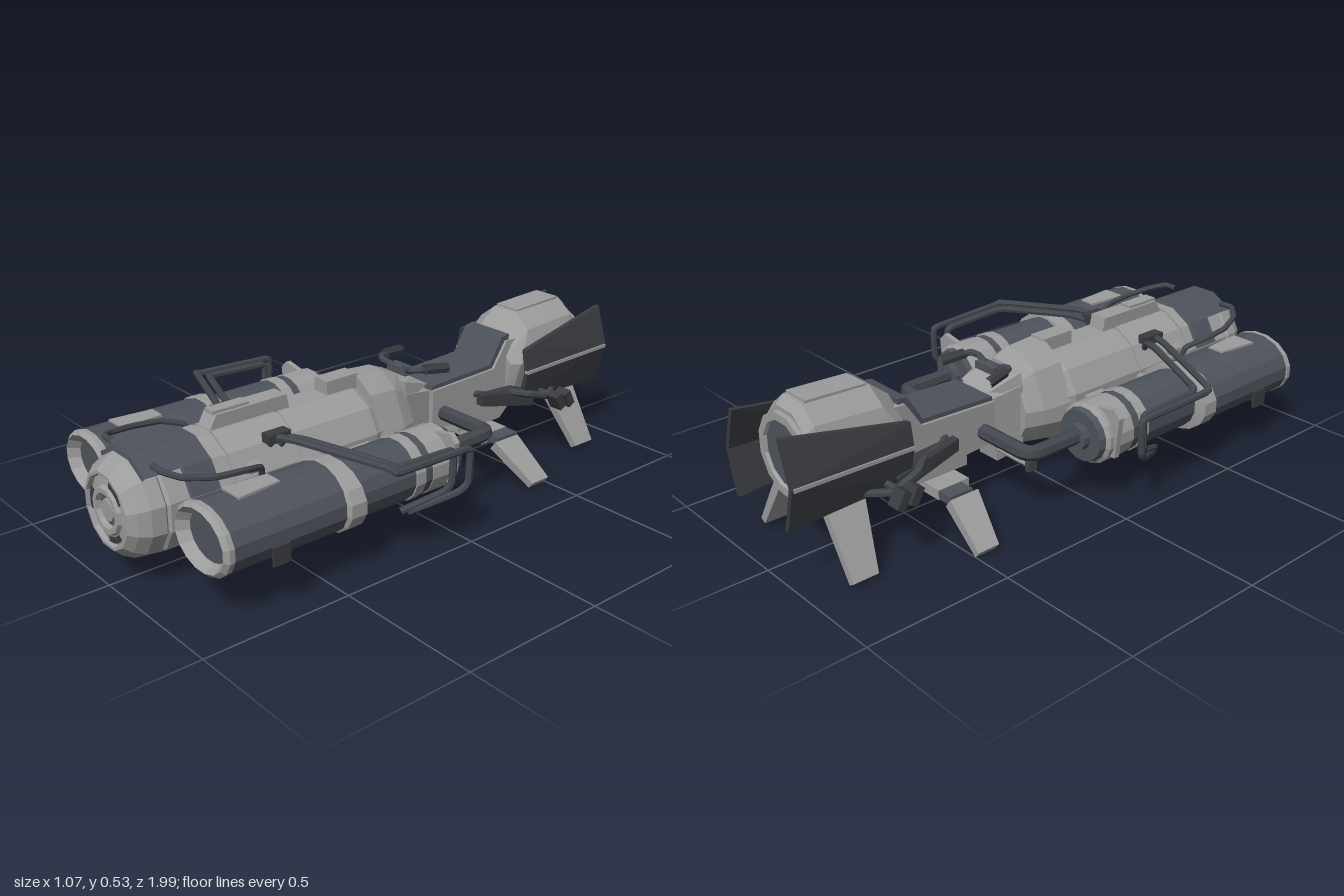
import * as THREE from 'three';
import { ConvexGeometry } from 'three/addons/geometries/ConvexGeometry.js';

const paint = (name, color) => {
  const m = new THREE.MeshStandardMaterial({ color, flatShading: true });
  m.name = name;
  return m;
};

export function createModel() {
  const root = new THREE.Group();
  root.name = 'hoverBike';
  const light = paint('lightGrey', 0x9c9c9c);
  const dark = paint('slate', 0x4e535c);
  const pipe = paint('pipeGrey', 0x42464d);
  const plate = paint('charcoal', 0x3a3c41);

  const add = (name, geo, mat, x = 0, y = 0, z = 0) => {
    const m = new THREE.Mesh(geo, mat);
    m.name = name;
    m.position.set(x, y, z);
    root.add(m);
    return m;
  };
  const box = (name, mat, w, h, d, x, y, z) => add(name, new THREE.BoxGeometry(w, h, d), mat, x, y, z);
  const hull = (name, mat, pts) => add(name, new ConvexGeometry(pts.map(p => new THREE.Vector3(...p))), mat);
  const rod = (name, mat, r, pts) => {
    const curve = new THREE.CatmullRomCurve3(pts.map(p => new THREE.Vector3(...p)), false, 'catmullrom', 0.18);
    return add(name, new THREE.TubeGeometry(curve, pts.length * 8, r, 7), mat);
  };
  // Turned part along z; profile is [radius, z] with z rising on outer faces, arc is degrees about the top
  const turn = (name, mat, profile, x, y, sides = 12, arc = 360, sy = 1) => {
    const len = arc * Math.PI / 180;
    const g = new THREE.LatheGeometry(profile.map(p => new THREE.Vector2(...p)), sides, Math.PI - len / 2 + (arc === 360 ? Math.PI / sides : 0), len);
    g.rotateX(Math.PI / 2);
    const m = add(name, g, mat, x, y, 0);
    m.scale.y = sy;
    return m;
  };
  // Side outline in [z, y], extruded across x
  const slab = (name, mat, pts, width, x = 0) => {
    const s = new THREE.Shape(pts.map(([z, y]) => new THREE.Vector2(-z, y)));
    const g = new THREE.ExtrudeGeometry(s, { depth: width, bevelEnabled: false });
    g.translate(0, 0, -width / 2).rotateY(Math.PI / 2);
    return add(name, g, mat, x);
  };

  const cy = 0.247;

  // Main fuselage
  turn('fuselage', light, [[0, -0.09], [0.125, -0.09], [0.142, -0.02], [0.16, 0.08], [0.168, 0.1], [0.168, 0.4],
    [0.164, 0.4], [0.164, 0.41], [0.17, 0.41], [0.17, 0.645], [0.163, 0.645], [0.163, 0.66], [0.17, 0.66], [0.17, 0.87], [0.16, 0.88]], 0, cy);
  turn('noseCone', light, [[0.155, 0.87], [0.168, 0.885], [0.163, 0.93], [0.145, 0.965], [0.122, 0.99], [0.112, 0.99],
    [0.108, 0.975], [0.078, 0.98], [0.072, 0.992], [0.056, 0.992], [0.05, 0.975], [0.036, 0.975], [0.034, 0.985], [0, 0.985]], 0, cy);
  turn('noseGroove', dark, [[0.051, 0.976], [0.037, 0.976]], 0, cy);
  for (let i = 0; i < 3; i++) {
    const g = new THREE.RingGeometry(0.08, 0.1, 6, 1, i * 2.094 + 0.5, 0.85);
    add('noseVent', g, plate, 0, cy, 0.984);
  }
  turn('noseCollar', dark, [[0.17, 0.795], [0.178, 0.8], [0.178, 0.925], [0.15, 0.93]], 0, cy, 3, 90);
  turn('noseCover', dark, [[0.17, 0.7], [0.178, 0.705], [0.178, 0.8], [0.17, 0.805]], 0, cy, 5, 150);

  // Raised spine along the top
  slab('frontSpine', light, [[0.65, 0.4], [0.62, 0.455], [0.36, 0.455], [0.35, 0.4]], 0.065);
  box('frontSpineCap', light, 0.045, 0.012, 0.13, 0, 0.458, 0.56);
  slab('rearSpine', light, [[0.2, 0.4], [0.2, 0.455], [0.075, 0.455], [0.07, 0.4]], 0.065);
  const cowl = [];
  for (const [z, top, w] of [[0.08, 0.448, 0.16], [-0.03, 0.44, 0.15], [-0.09, 0.415, 0.125]])
    for (const s of [-1, 1]) cowl.push([s * 0.035, top, z], [s * w * 0.66, top - 0.05, z], [s * w, 0.27, z]);
  hull('rearCowl', light, cowl);

  // Neck, steering console and seat
  hull('neck', light, [-1, 1].flatMap(s => [[s * 0.1, 0.36, -0.08], [s * 0.1, 0.15, -0.08], [s * 0.075, 0.33, -0.24], [s * 0.075, 0.18, -0.24]]));
  hull('console', light, [-1, 1].flatMap(s => [[s * 0.09, 0.4, -0.08], [s * 0.07, 0.36, -0.2], [s * 0.05, 0.39, -0.15], [s * 0.1, 0.33, -0.08]]));
  slab('neckBrace', light, [[-0.1, 0.09], [-0.1, 0.2], [-0.16, 0.2], [-0.145, 0.085]], 0.09);
  box('steeringHead', dark, 0.09, 0.025, 0.04, 0, 0.41, -0.14);
  slab('seatBase', light, [[-0.2, 0.2], [-0.2, 0.34], [-0.49, 0.35], [-0.55, 0.44], [-0.6, 0.44], [-0.6, 0.22],
    [-0.53, 0.155], [-0.32, 0.155], [-0.32, 0.19]], 0.2);
  slab('seatPad', dark, [[-0.2, 0.335], [-0.205, 0.355], [-0.48, 0.365], [-0.535, 0.455], [-0.57, 0.46], [-0.57, 0.4], [-0.5, 0.335]], 0.18);
  box('seatKeel', light, 0.34, 0.035, 0.12, 0, 0.137, -0.43);
  box('seatBelly', light, 0.13, 0.03, 0.2, 0, 0.15, -0.42);

  // Tail thruster
  const tail = [];
  for (const [z, k, top] of [[-0.55, 0.8, 0.435], [-0.575, 0.97, 0.465], [-0.64, 1, 0.515], [-0.87, 0.94, 0.525], [-0.9, 0.86, 0.5]])
    for (const s of [-1, 1]) tail.push([s * 0.05 * k, top, z], [s * 0.115 * k, top - 0.05, z], [s * 0.155 * k, 0.36, z],
      [s * 0.12 * k, 0.25, z], [s * 0.06 * k, 0.205, z]);
  hull('tailHousing', light, tail);
  turn('tailNozzle', light, [[0.1, -0.895], [0.11, -0.915], [0.135, -0.915], [0.14, -0.88]], 0, 0.355);
  turn('tailExhaust', dark, [[0, -0.905], [0.115, -0.905]], 0, 0.355);
  slab('tailPanel', light, [[-0.65, 0.51], [-0.65, 0.522], [-0.86, 0.531], [-0.86, 0.51]], 0.1);

  for (const s of [1, -1]) {
    const ex = s * 0.32, ey = 0.245;
    const mirror = pts => pts.map(([x, y, z]) => [s * x, y, z]);

    // Side engine
    turn('engineFrontBarrel', dark, [[0, 0.44], [0.134, 0.44], [0.134, 0.855]], ex, ey, 16, 360, 0.8);
    turn('engineIntakeLip', light, [[0.13, 0.85], [0.138, 0.853], [0.138, 0.87], [0.122, 0.883], [0.094, 0.845]], ex, ey, 16, 360, 0.78);
    turn('engineIntake', dark, [[0.096, 0.848], [0, 0.848]], ex, ey, 16, 360, 0.78);
    turn('engineBand', light, [[0.105, 0.395], [0.149, 0.4], [0.149, 0.455], [0.13, 0.465]], ex, ey, 16, 360, 0.73);
    turn('engineRearBarrel', dark, [[0.106, 0.1], [0.106, 0.4]], ex, ey, 16, 360, 0.95);
    turn('engineRearBand', light, [[0.105, 0.13], [0.11, 0.132], [0.11, 0.168], [0.105, 0.17]], ex, ey, 16, 360, 0.95);
    turn('engineRearCap', light, [[0.09, -0.02], [0.108, -0.005], [0.108, 0.1], [0.1, 0.105]], ex, ey, 16, 360, 0.95);
    turn('engineRearPlate', dark, [[0, -0.035], [0.09, -0.035], [0.096, -0.015]], ex, ey, 16, 360, 0.95);
    turn('pipeSocket', dark, [[0, -0.06], [0.045, -0.06], [0.045, -0.03]], ex, ey);
    hull('engineTopPanel', light, mirror([0.348, 0.356].flatMap(y => [[0.285, y, 0.62], [0.345, y, 0.62], [0.275, y, 0.77], [0.36, y, 0.77]])));
    box('engineSidePanel', plate, 0.008, 0.06, 0.06, s * 0.455, 0.195, 0.7);
    hull('engineFlap', light, mirror([0.01, 0.03].flatMap(z => [[0.34, 0.19, z], [0.43, 0.19, z], [0.445, 0.33, z], [0.42, 0.355, z], [0.34, 0.34, z]])));
    for (const z of [0.18, 0.43, 0.72]) box('engineMount', light, 0.08, 0.06, 0.08, s * 0.19, cy, z);

    // Exhaust pipe back to the neck
    rod('exhaustPipe', pipe, 0.026, mirror([[0.32, 0.25, -0.03], [0.32, 0.25, -0.2], [0.315, 0.25, -0.235], [0.29, 0.25, -0.25],
      [0.2, 0.25, -0.25], [0.05, 0.25, -0.25]]));

    // Guard rails around the engine
    rod('outerRail', pipe, 0.012, mirror([[0.13, 0.36, 0.5], [0.15, 0.385, 0.49], [0.22, 0.39, 0.465], [0.5, 0.367, 0.35], [0.522, 0.355, 0.33],
      [0.515, 0.345, 0.05], [0.515, 0.325, 0.035], [0.515, 0.23, 0.04], [0.5, 0.2, 0.07], [0.42, 0.145, 0.2]]));
    rod('innerRail', pipe, 0.012, mirror([[0.13, 0.35, 0.46], [0.15, 0.375, 0.45], [0.22, 0.38, 0.425], [0.46, 0.36, 0.325], [0.487, 0.35, 0.3],
      [0.485, 0.34, 0.09], [0.485, 0.32, 0.075], [0.485, 0.23, 0.08], [0.47, 0.2, 0.1], [0.41, 0.15, 0.22]]));
    box('railFoot', plate, 0.04, 0.03, 0.08, s * 0.14, 0.385, 0.48);
    rod('noseHose', pipe, 0.01, mirror([[0.11, 0.4, 0.89], [0.16, 0.4, 0.89], [0.205, 0.385, 0.85], [0.235, 0.37, 0.76],
      [0.235, 0.36, 0.66], [0.21, 0.34, 0.59], [0.2, 0.31, 0.58]]));
    turn('sideBolt', light, [[0, 0.55], [0.018, 0.56], [0.018, 0.6], [0, 0.61]], s * 0.16, 0.32, 8);

    // Handlebar and foot peg
    rod('handlebar', pipe, 0.011, mirror([[0, 0.41, -0.14], [0.07, 0.425, -0.125], [0.095, 0.43, -0.14], [0.115, 0.42, -0.24]]));
    rod('handGrip', plate, 0.018, mirror([[0.1, 0.43, -0.155], [0.118, 0.42, -0.245]]));
    rod('footPeg', light, 0.011, mirror([[0.04, 0.13, -0.135], [0.13, 0.13, -0.14], [0.21, 0.13, -0.14]]));
    box('footPegEnd', pipe, 0.018, 0.035, 0.035, s * 0.205, 0.13, -0.14);

    // Landing fins: root and tip as [x, y, zFront, zBack]
    const fin = (name, a, b, t) => {
      const dx = b[0] - a[0], dy = b[1] - a[1], l = Math.hypot(dx, dy);
      const nx = -dy / l * t, ny = dx / l * t;
      const pts = [];
      for (const [p, k] of [[a, 1], [b, 0.7]])
        for (const z of [p[2], p[3]])
          for (const d of [k, -k]) pts.push([p[0] + nx * d, p[1] + ny * d, z]);
      hull(name, light, mirror(pts));
    };
    fin('frontFin', [0.215, 0.128, -0.38, -0.49], [0.362, 0.016, -0.42, -0.5], 0.019);
    fin('rearFin', [0.12, 0.215, -0.735, -0.87], [0.242, 0.016, -0.78, -0.87], 0.017);
    box('finBracket', dark, 0.06, 0.028, 0.09, s * 0.195, 0.138, -0.445);

    // Linkage beside the seat and rear pedal
    rod('seatHose', pipe, 0.013, mirror([[0.09, 0.28, -0.4], [0.13, 0.275, -0.44], [0.145, 0.27, -0.52], [0.19, 0.26, -0.58], [0.195, 0.23, -0.68], [0.13, 0.23, -0.76]]));
    hull('linkArm', plate, mirror([0.12, 0.15].flatMap(x => [[x, 0.29, -0.39], [x, 0.25, -0.39], [x, 0.28, -0.55], [x + 0.02, 0.2, -0.62], [x + 0.02, 0.25, -0.64]])));
    rod('pedalArm', pipe, 0.012, mirror([[0.14, 0.24, -0.67], [0.26, 0.24, -0.67]]));
    for (const z of [-0.65, -0.695]) box('pedal', plate, 0.05, 0.06, 0.03, s * 0.255, 0.24, z).rotation.x = 0.5;

    // Folded tail vane with a light crease strip
    const vane = (name, edge) => hull(name, plate, mirror([0, 0.016].flatMap(d => [...edge, [0.163, 0.335, -0.58], [0.163, 0.345, -1]]
      .map(([x, y, z]) => [x + d, y, z]))));
    vane('upperVane', [[0.148, 0.415, -0.58], [0.118, 0.487, -1]]);
    vane('lowerVane', [[0.14, 0.225, -0.58], [0.125, 0.2, -1]]);
    hull('vaneStrip', light, mirror([0.165, 0.183].flatMap(x => [[x, 0.33, -0.58], [x, 0.342, -0.58], [x, 0.338, -0.995], [x, 0.35, -0.995]])));
    box('vaneMount', light, 0.05, 0.06, 0.16, s * 0.14, 0.34, -0.78);
  }
  return root;
}
